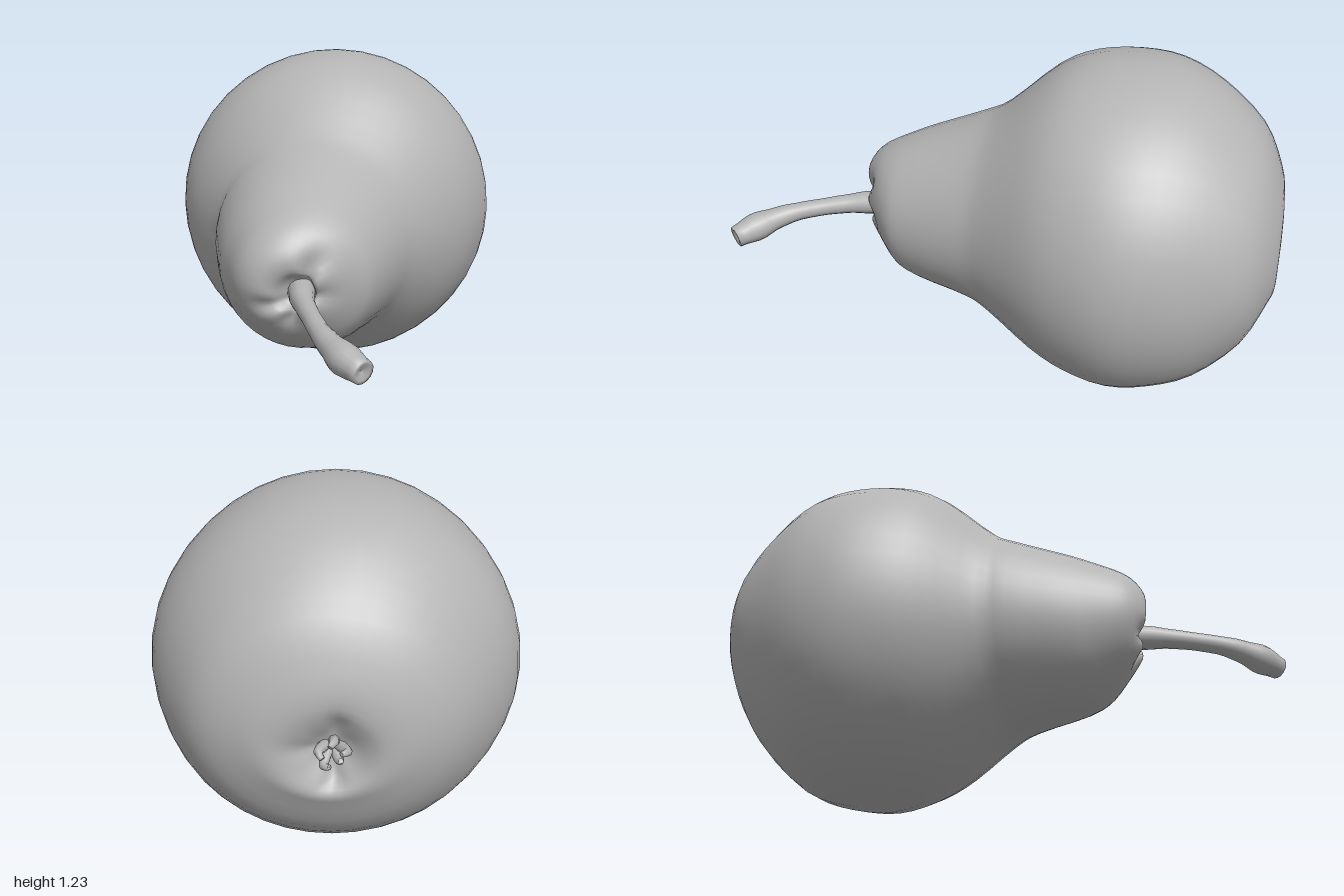
import * as THREE from 'three';

// Smooth closed surface from rings of points; ringPoint(i, angle) returns a Vector3
function loft(ringCount, sides, ringPoint) {
  const positions = [], index = [];
  for (let i = 0; i < ringCount; i++) {
    for (let j = 0; j < sides; j++) {
      const p = ringPoint(i, (j / sides) * Math.PI * 2);
      positions.push(p.x, p.y, p.z);
      if (i === ringCount - 1) continue;
      const k = (j + 1) % sides;
      const a = i * sides + j, b = i * sides + k;
      index.push(a, b, b + sides, a, b + sides, a + sides);
    }
  }
  const geometry = new THREE.BufferGeometry();
  geometry.setAttribute('position', new THREE.Float32BufferAttribute(positions, 3));
  geometry.setIndex(index);
  geometry.computeVertexNormals();
  return geometry;
}

// Round stalk along a path, with radii spread evenly and both ends closed
function stalk(points, radii, steps, sides, endHollow = 0) {
  const curve = new THREE.CatmullRomCurve3(points.map((p) => new THREE.Vector3(...p)));
  const frames = curve.computeFrenetFrames(steps, false);
  const radiusAt = (t) => {
    const f = t * (radii.length - 1), i = Math.min(Math.floor(f), radii.length - 2);
    return THREE.MathUtils.lerp(radii[i], radii[i + 1], THREE.MathUtils.smoothstep(f - i, 0, 1));
  };
  return loft(steps + 4, sides, (i, angle) => {
    const s = THREE.MathUtils.clamp(i - 1, 0, steps), t = s / steps;
    let r = radiusAt(t), sink = 0;
    if (i === 0) r = 0.0005;
    if (i === steps + 2) r *= 0.7;
    if (i === steps + 3) { r = 0.0005; sink = endHollow; }
    return curve.getPointAt(t)
      .addScaledVector(frames.normals[s], Math.cos(angle) * r)
      .addScaledVector(frames.binormals[s], Math.sin(angle) * r)
      .addScaledVector(frames.tangents[s], -sink);
  });
}

// Body cross-sections from blossom end to stem end: z, centre x, centre y, radius x, radius y
const SECTIONS = [
  [-0.925, 0.01, 0.58, 0.001, 0.001],
  [-0.94, 0.01, 0.58, 0.05, 0.05],
  [-0.98, 0.01, 0.585, 0.11, 0.11],
  [-0.998, 0.02, 0.6, 0.18, 0.16],
  [-0.975, 0.015, 0.625, 0.28, 0.24],
  [-0.9, 0.02, 0.625, 0.41, 0.39],
  [-0.75, 0.01, 0.613, 0.52, 0.53],
  [-0.6, 0, 0.615, 0.592, 0.595],
  [-0.45, 0, 0.613, 0.613, 0.613],
  [-0.3, 0, 0.62, 0.58, 0.59],
  [-0.17, 0, 0.62, 0.517, 0.53],
  [0, 0, 0.6, 0.393, 0.4],
  [0.1, -0.017, 0.59, 0.353, 0.352],
  [0.3, -0.023, 0.57, 0.288, 0.29],
  [0.4, -0.018, 0.572, 0.242, 0.24],
  [0.47, -0.02, 0.575, 0.19, 0.185],
  [0.52, -0.025, 0.57, 0.12, 0.12],
  [0.52, -0.015, 0.56, 0.075, 0.075],
  [0.485, 0, 0.555, 0.05, 0.05],
  [0.46, 0.005, 0.553, 0.001, 0.001],
];

// Creases running out of each hollow: angle, depth
const STEM_CREASES = [[0.9, 0.03], [-1.6, 0.035], [-2.6, 0.025], [-0.2, 0.02]];
const BASE_CREASES = [[-1.6, 0.025], [1.7, 0.02], [0.1, 0.012]];

function creaseDepth(creases, angle) {
  return creases.reduce((sum, [at, depth]) => {
    const d = Math.atan2(Math.sin(angle - at), Math.cos(angle - at));
    return sum + depth * Math.exp(-((d / 0.3) ** 2));
  }, 0);
}

function bodyGeometry() {
  const centres = new THREE.CatmullRomCurve3(SECTIONS.map(([z, x, y]) => new THREE.Vector3(x, y, z)), false, 'catmullrom', 0.5);
  const radii = new THREE.CatmullRomCurve3(SECTIONS.map((s) => new THREE.Vector3(s[3], s[4], 0)), false, 'catmullrom', 0.5);
  const rings = (SECTIONS.length - 1) * 3 + 1;
  return loft(rings, 40, (i, angle) => {
    const t = i / (rings - 1);
    const p = centres.getPoint(t), r = radii.getPoint(t);
    const dx = Math.cos(angle) * Math.max(r.x, 0.001);
    const dy = Math.sin(angle) * Math.max(r.y, 0.001);
    p.x += dx;
    p.y += dy;
    // Tilt the stem end and press the creases into both hollows
    const rim = Math.exp(-(((Math.hypot(dx, dy) - 0.1) / 0.05) ** 2));
    if (p.z > 0.3) {
      p.z += THREE.MathUtils.smoothstep(p.z, 0.35, 0.52) * (-0.2 * dx + 0.08 * dy);
      p.z -= rim * creaseDepth(STEM_CREASES, angle);
    } else if (p.z < -0.85) {
      p.z += rim * creaseDepth(BASE_CREASES, angle);
    }
    return p;
  });
}

export function createModel() {
  const pear = new THREE.Group();
  pear.name = 'pear';
  const skin = new THREE.MeshStandardMaterial({ color: 0xb4b4b4 });
  skin.name = 'plain grey';

  const add = (name, geometry, parent = pear) => {
    const mesh = new THREE.Mesh(geometry, skin);
    mesh.name = name;
    parent.add(mesh);
    return mesh;
  };

  add('body', bodyGeometry());

  // Bent stem with a flared, slightly hollow cut end
  add('stem', stalk(
    [[0.0, 0.555, 0.44], [0.02, 0.552, 0.55], [0.07, 0.543, 0.69], [0.125, 0.528, 0.81], [0.2, 0.503, 0.91], [0.262, 0.487, 0.968]],
    [0.05, 0.043, 0.035, 0.032, 0.033, 0.04, 0.053, 0.04], 24, 14, 0.012));

  // Dried blossom remnant: curled sepals in the base hollow
  const blossom = new THREE.Group();
  blossom.name = 'blossomEnd';
  blossom.position.set(0.01, 0.58, -0.92);
  for (let i = 0; i < 5; i++) {
    const reach = i % 2 ? 0.85 : 1.1;
    const sepal = add('sepal', stalk(
      [[0.012, 0, 0.01], [0.03, 0.004, -0.025], [0.042 * reach, 0, -0.055 * reach], [0.03, -0.008, -0.07 * reach]],
      [0.02, 0.018, 0.016, 0.009], 8, 7), blossom);
    sepal.rotation.z = (i / 5) * Math.PI * 2 + 0.3;
  }
  pear.add(blossom);

  return pear;
}
